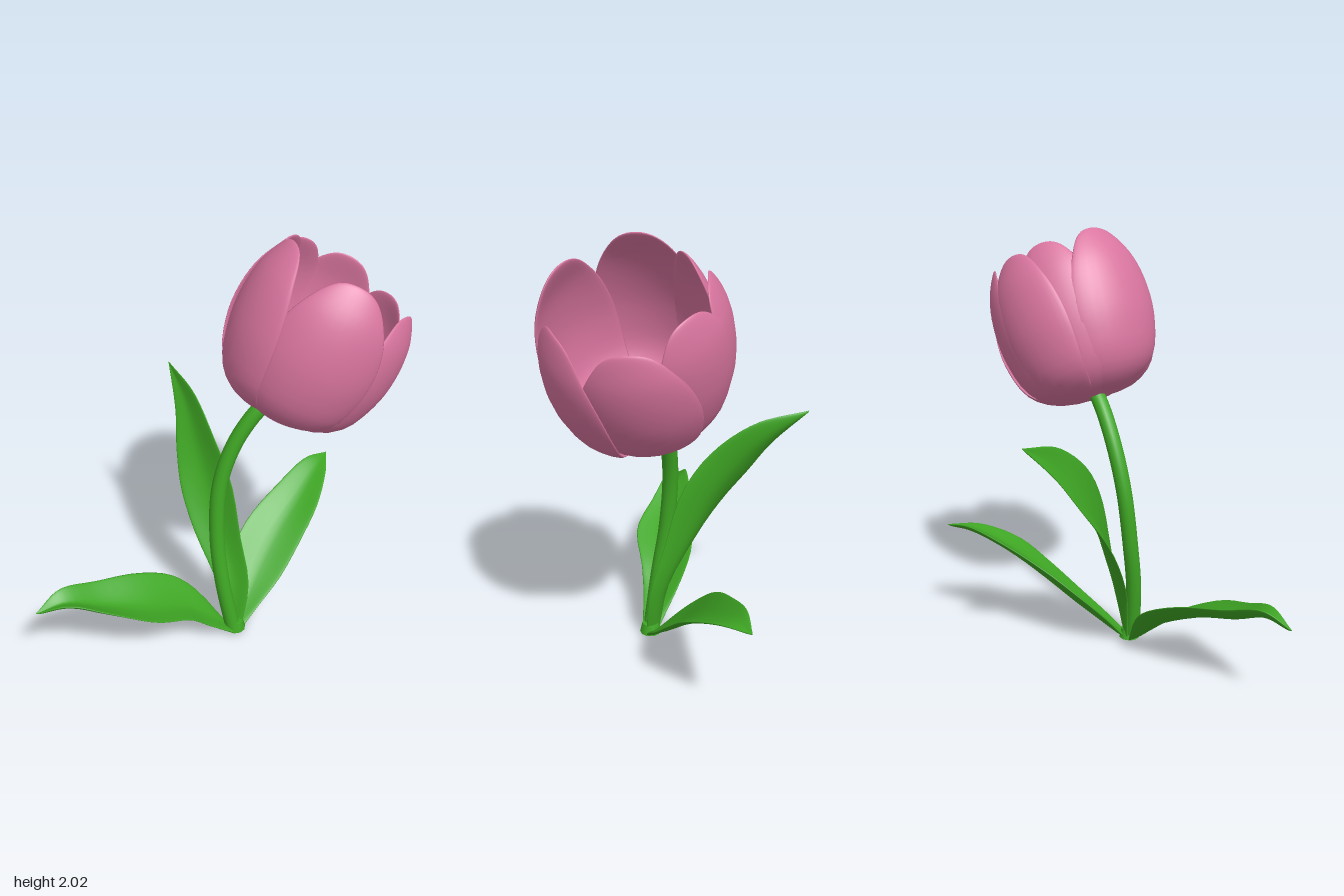
import * as THREE from 'three';

const V = (p) => new THREE.Vector3(...p);

// Closed thin shell around a surface P(u, v), u in -1..1 across, v in 0..1 along, thinning to its rim.
function shell(P, thickness, nu = 14, nv = 28) {
  const pos = [], index = [], loop = nu * 2, e = 1e-3;
  for (let i = 0; i <= nv; i++) {
    const v = Math.sin((i / nv) * Math.PI / 2);
    for (let k = 0; k < loop; k++) {
      const top = k <= nu;
      const u = -Math.cos((k / nu) * Math.PI);
      const p = P(u, v), vn = Math.min(v, 0.985);
      const du = P(u + e, vn).sub(P(u - e, vn));
      const dv = P(u, vn + e).sub(P(u, vn - e));
      const n = du.cross(dv).normalize();
      const fade = Math.sqrt(Math.max(0, 1 - u * u)) * Math.sqrt(Math.max(0, 1 - v ** 8));
      p.addScaledVector(n, (top ? 0.5 : -0.5) * thickness * fade);
      pos.push(p.x, p.y, p.z);
      if (i < nv) {
        const a = i * loop + k, b = i * loop + (k + 1) % loop;
        index.push(a, b, b + loop, a, b + loop, a + loop);
      }
    }
  }
  const g = new THREE.BufferGeometry();
  g.setAttribute('position', new THREE.Float32BufferAttribute(pos, 3));
  g.setIndex(index);
  g.computeVertexNormals();
  return g;
}

// Leaf blade between two edge curves, its midrib displaced by the sag vector.
function leafGeometry(edgeA, edgeB, sag) {
  const a = new THREE.CatmullRomCurve3(edgeA.map(V));
  const b = new THREE.CatmullRomCurve3(edgeB.map(V));
  const s = V(sag);
  return shell((u, v) => {
    const t = THREE.MathUtils.clamp(v, 0, 1);
    const p = a.getPoint(t).lerp(b.getPoint(t), (u + 1) / 2);
    const fold = (1 - Math.abs(u) ** 1.5) * Math.sin(Math.PI * t) ** 0.7;
    return p.addScaledVector(s, fold);
  }, 0.022);
}

// Cup profile of the bloom: radius and height along the petal.
const profile = new THREE.SplineCurve([
  [0.008, 0], [0.19, 0.025], [0.3, 0.11], [0.355, 0.27], [0.37, 0.43], [0.355, 0.59], [0.305, 0.74],
].map(([r, h]) => new THREE.Vector2(r, h)));

function petalGeometry(azimuth, height, radius, halfAngle) {
  return shell((u, v) => {
    const t = THREE.MathUtils.clamp(v, 0, 1);
    const q = profile.getPoint(t);
    const round = t < 0.42 ? 1 : Math.max(0, 1 - ((t - 0.42) / 0.58) ** 2.3) ** 0.5;
    const angle = azimuth - u * halfAngle * round;
    // one side lies over its neighbour, the other tucks under
    const r = q.x * radius + 0.016 * u * Math.min(1, t * 3) * round;
    return new THREE.Vector3(Math.cos(angle) * r, q.y * height, Math.sin(angle) * r);
  }, 0.034);
}

export function createModel() {
  const model = new THREE.Group();
  const pink = new THREE.MeshStandardMaterial({ color: 0xd9759f });
  pink.name = 'petalPink';
  const green = new THREE.MeshStandardMaterial({ color: 0x3fa724 });
  green.name = 'leafGreen';
  const add = (parent, name, geometry, material) => {
    const mesh = new THREE.Mesh(geometry, material);
    mesh.name = name;
    parent.add(mesh);
    return mesh;
  };

  // Stem
  const stemPath = new THREE.CatmullRomCurve3([
    [0.06, 0.01, 0.15], [0.02, 0.3, 0.11], [0.012, 0.55, 0.07], [0.035, 0.82, 0.05],
    [0.1, 1.03, 0.06], [0.19, 1.19, 0.09], [0.27, 1.28, 0.12],
  ].map(V));
  add(model, 'stem', new THREE.TubeGeometry(stemPath, 40, 0.037, 14), green);
  add(model, 'stemBase', new THREE.CylinderGeometry(0.04, 0.052, 0.05, 10), green)
    .position.set(0.075, 0.025, 0.15);

  // Leaves: both edges from base to tip, then the midrib sag
  const leaves = {
    rightLeaf: [
      [[0.05, 0, 0.19], [-0.1, 0.12, 0.19], [-0.2, 0.21, 0.2], [-0.4, 0.31, 0.23],
        [-0.6, 0.39, 0.15], [-0.76, 0.45, 0.08], [-0.9, 0.41, 0]],
      [[0.05, 0, 0.11], [-0.07, 0.2, 0], [-0.18, 0.3, -0.05], [-0.36, 0.38, -0.06],
        [-0.58, 0.43, -0.05], [-0.77, 0.475, -0.03], [-0.9, 0.41, 0]],
      [0, -0.06, 0]],
    leftLeaf: [
      [[0.11, 0, 0.17], [0.22, 0.085, 0.15], [0.36, 0.185, 0.12], [0.52, 0.325, 0.06],
        [0.66, 0.445, -0.01], [0.8, 0.53, -0.14], [0.9, 0.55, -0.28]],
      [[0.08, 0, 0.12], [0.12, 0.13, 0.02], [0.2, 0.27, -0.09], [0.33, 0.385, -0.16],
        [0.55, 0.495, -0.22], [0.76, 0.565, -0.27], [0.9, 0.55, -0.28]],
      [0.02, -0.03, -0.02]],
    backLeaf: [
      [[0.1, 0, 0.17], [0.15, 0.25, 0.15], [0.14, 0.5, 0.08], [0.13, 0.78, 0],
        [0.11, 0.97, -0.13], [0.11, 1.12, -0.33], [0.1, 1.18, -0.57]],
      [[0.06, 0, 0.11], [0.02, 0.25, 0.06], [-0.03, 0.5, -0.08], [-0.035, 0.68, -0.2],
        [0, 0.84, -0.31], [0.05, 1.0, -0.41], [0.1, 1.18, -0.57]],
      [0.03, -0.012, -0.02]],
  };
  for (const [name, [a, b, sag]] of Object.entries(leaves)) {
    add(model, name, leafGeometry(a, b, sag), green);
  }

  // Bloom: tilted cup of overlapping petals
  const bloom = new THREE.Group();
  bloom.name = 'bloom';
  bloom.position.set(0.265, 1.235, 0.135);
  bloom.quaternion.setFromUnitVectors(new THREE.Vector3(0, 1, 0), V([0.43, 0.88, 0.11]).normalize());
  model.add(bloom);
  // azimuth in degrees, height, radius, half angle in degrees
  [
    [0, 0.87, 1.0, 41], [58, 0.88, 1.03, 42], [122, 0.95, 1.0, 42], [190, 0.97, 1.0, 40],
    [240, 0.95, 0.92, 38], [268, 0.93, 1.03, 36], [312, 0.94, 0.99, 40],
  ].forEach(([azimuth, height, radius, half], i) => {
    const rad = THREE.MathUtils.degToRad;
    add(bloom, `petal${i + 1}`, petalGeometry(rad(azimuth), height, radius, rad(half)), pink);
  });

  return model;
}
